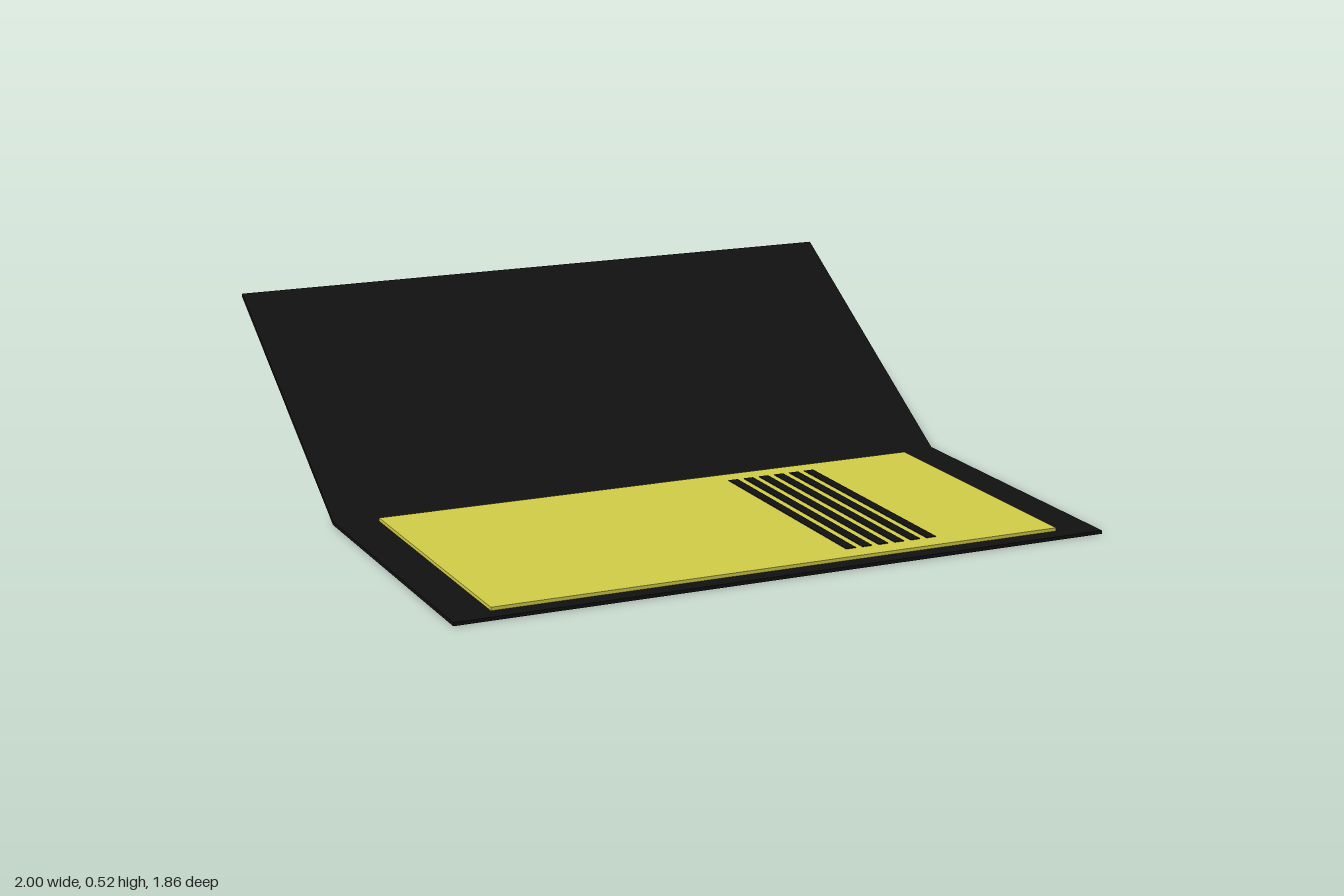
import * as THREE from 'three';

const black = new THREE.MeshStandardMaterial({ color: 0x111111 });
const yellow = new THREE.MeshStandardMaterial({ color: 0xd2ce48 });

function addBox(parent, name, material, size, position) {
  const mesh = new THREE.Mesh(new THREE.BoxGeometry(...size), material);
  mesh.name = name;
  mesh.position.set(...position);
  parent.add(mesh);
}

export function createModel() {
  const model = new THREE.Group();
  model.name = 'openFolder';

  // Folded cover: side profile (z, y) of flat base and raised flap, swept across x
  const profile = new THREE.Shape([
    [0.93, 0], [0.93, 0.01], [-0.067, 0.01],
    [-0.927, 0.52], [-0.932, 0.511], [-0.07, 0],
  ].map(([z, y]) => new THREE.Vector2(z, y)));
  const coverGeometry = new THREE.ExtrudeGeometry(profile, { depth: 2, bevelEnabled: false });
  coverGeometry.rotateY(-Math.PI / 2).translate(1, 0, 0);
  const cover = new THREE.Mesh(coverGeometry, black);
  cover.name = 'foldedCover';
  model.add(cover);

  // Card lying on the base
  addBox(model, 'card', yellow, [1.75, 0.01, 0.9], [0, 0.015, 0.43]);

  // Six dark stripes, barely proud of the card
  const stripes = new THREE.Group();
  stripes.name = 'stripes';
  for (let i = 0; i < 6; i++) {
    addBox(stripes, 'stripe', black, [0.031, 0.004, 0.765], [0.241 + i * 0.0518, 0.02, 0.431]);
  }
  model.add(stripes);

  return model;
}
